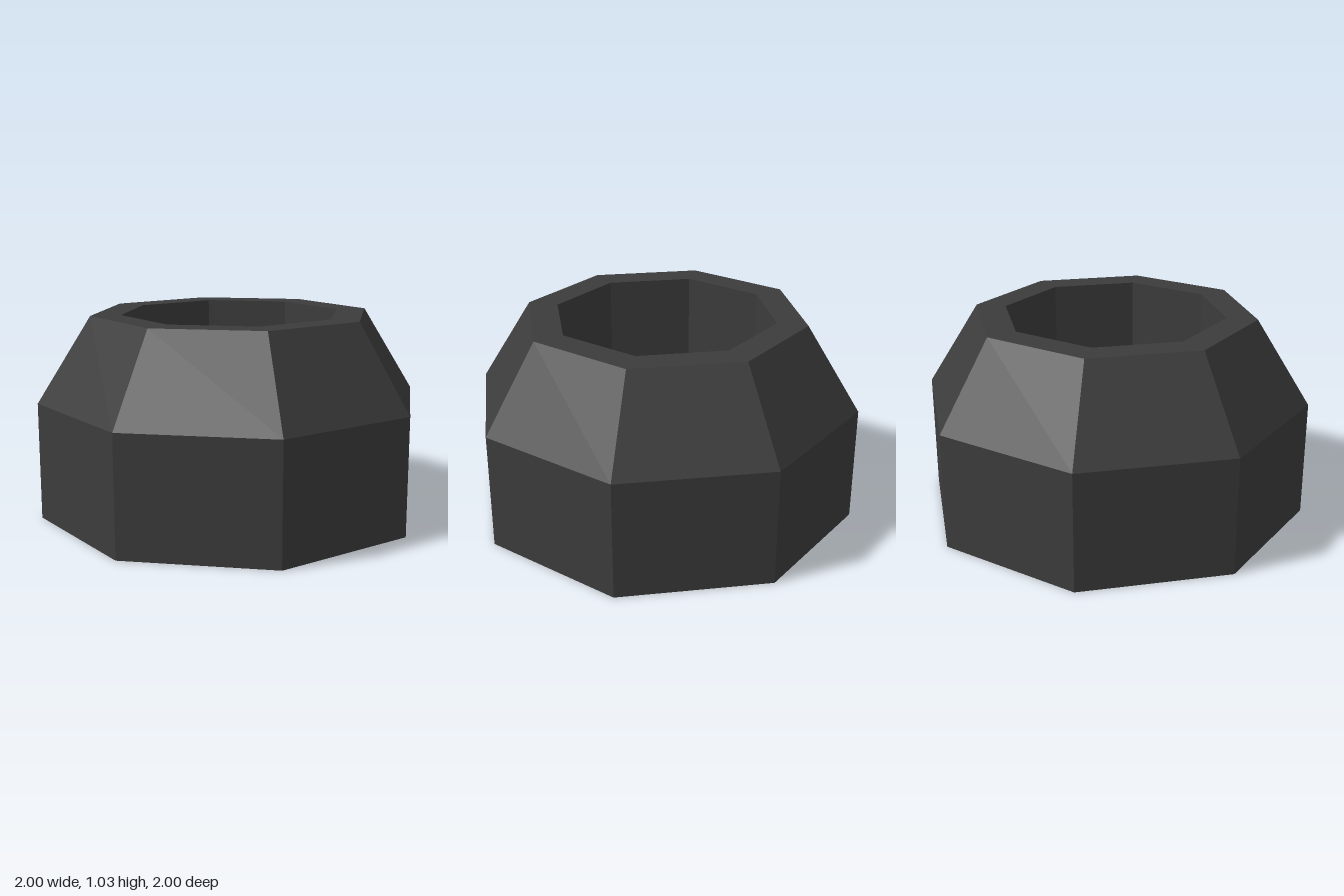
import * as THREE from 'three';

const SIDES = 8;

// Faceted ring of panels swept from a bottom-to-top [radius, height] profile
function facetedLathe(profile) {
  const points = profile.map(([r, y]) => new THREE.Vector2(r, y));
  const geometry = new THREE.LatheGeometry(points, SIDES).toNonIndexed();
  geometry.computeVertexNormals();
  return geometry;
}

export function createModel() {
  const group = new THREE.Group();
  group.name = 'octagonalPot';

  const charcoal = new THREE.MeshStandardMaterial({ color: 0x3c3c3c });
  charcoal.name = 'charcoal';

  const add = (name, geometry) => {
    const mesh = new THREE.Mesh(geometry, charcoal);
    mesh.name = name;
    group.add(mesh);
    return mesh;
  };

  const height = 1.035;
  const rimRadius = 0.725;
  const holeRadius = 0.57;
  const floorHeight = 0.2;

  // Straight lower wall, sloping shoulder, flat rim and inner wall
  add('shell', facetedLathe([
    [1, 0], [1, 0.6], [rimRadius, height], [holeRadius, height], [holeRadius, floorHeight],
  ]));

  // Closed floor of the hollow, with corners matching the shell
  const floor = add('innerFloor', new THREE.CircleGeometry(holeRadius, SIDES));
  floor.rotation.x = -Math.PI / 2;
  floor.position.y = floorHeight;

  // Underside
  const base = add('base', new THREE.CircleGeometry(1, SIDES));
  base.rotation.x = Math.PI / 2;

  return group;
}
